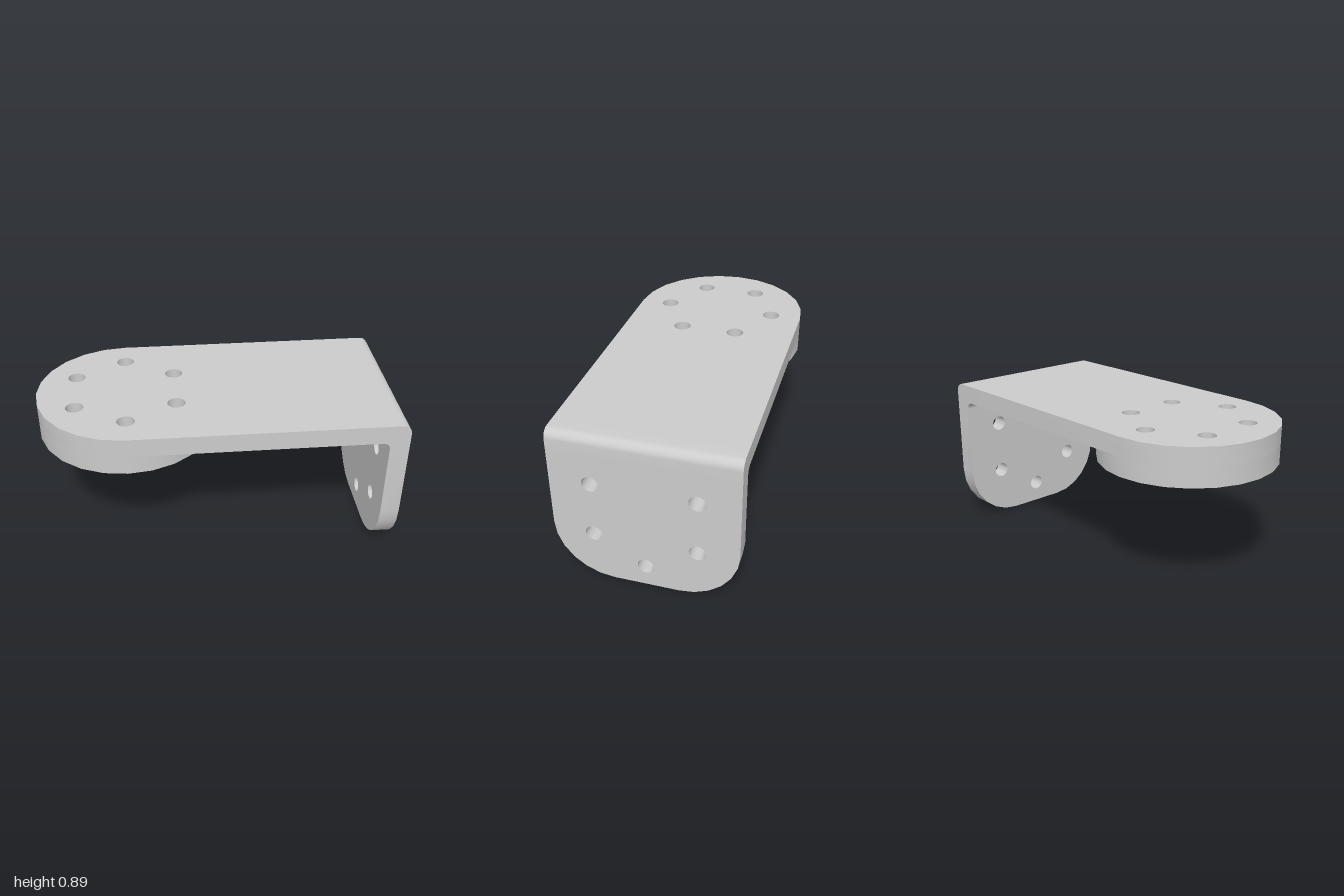
import * as THREE from 'three';
import { toCreasedNormals } from 'three/addons/utils/BufferGeometryUtils.js';

const HALF = 0.497;                 // half width, also the pad radius
const PAD_X = -0.503;               // centre of the round end
const TOP = 0.893, UNDER = 0.787, PAD_BOTTOM = 0.68;
const OUT = 1, IN = 0.893;          // outer and inner face of the upright flange
const R_IN = 0.04, R_OUT = 0.05;    // bend radii
const SEAM_X = IN - R_IN, SEAM_Y = UNDER - R_IN;

// Points along an arc, angles in degrees
function arc(cx, cy, r, from, to, steps) {
  return Array.from({ length: steps + 1 }, (_, i) => {
    const a = THREE.MathUtils.degToRad(from + (to - from) * i / steps);
    return new THREE.Vector2(cx + r * Math.cos(a), cy + r * Math.sin(a));
  });
}

function plate(outline, holes, depth) {
  const shape = new THREE.Shape(outline);
  for (const [x, y, r] of holes) {
    shape.holes.push(new THREE.Path(arc(x, y, r, 360, 0, 32).slice(0, -1)));
  }
  return new THREE.ExtrudeGeometry(shape, { depth, bevelEnabled: false });
}

export function createModel() {
  const group = new THREE.Group();
  const material = new THREE.MeshStandardMaterial({ color: 0xcccccc });
  const add = (name, geometry) => {
    const mesh = new THREE.Mesh(toCreasedNormals(geometry, 0.5), material);
    mesh.name = name;
    group.add(mesh);
  };
  const V = (x, y) => new THREE.Vector2(x, y);

  // Ring of six holes through the arm and the pad
  const ring = arc(PAD_X, 0, 0.32, 30, 330, 5).map(p => [p.x, p.y, 0.049]);

  // Horizontal arm with a round end
  const armOutline = [V(SEAM_X, -HALF), V(SEAM_X, HALF), ...arc(PAD_X, 0, HALF, 90, 270, 12)];
  add('arm', plate(armOutline, ring, TOP - UNDER).rotateX(-Math.PI / 2).translate(0, UNDER, 0));

  // Round pad under the end of the arm
  const padOutline = arc(PAD_X, 0, HALF, 0, 360, 24).slice(0, -1);
  add('mountingPad', plate(padOutline, ring, UNDER - PAD_BOTTOM)
    .rotateX(-Math.PI / 2).translate(0, PAD_BOTTOM, 0));

  // Bend joining the arm to the flange
  const bendOutline = [
    V(SEAM_X, TOP),
    ...arc(SEAM_X, SEAM_Y, R_IN, 90, 0, 8),
    V(OUT, SEAM_Y),
    ...arc(OUT - R_OUT, TOP - R_OUT, R_OUT, 0, 90, 8),
  ];
  add('bend', plate(bendOutline, [], 2 * HALF).translate(0, 0, -HALF));

  // Upright flange with rounded lower corners and five holes
  const R = 0.32, c = HALF - R;
  const flangeOutline = [
    V(HALF, SEAM_Y), V(-HALF, SEAM_Y),
    ...arc(-c, R, R, 180, 270, 6),
    ...arc(c, R, R, 270, 360, 6),
  ];
  const flangeHoles = [[0, 0.127, 0.045]];
  for (const z of [-0.277, 0.277]) for (const y of [0.288, 0.608]) flangeHoles.push([z, y, 0.045]);
  add('flange', plate(flangeOutline, flangeHoles, OUT - IN).rotateY(Math.PI / 2).translate(IN, 0, 0));

  return group;
}
